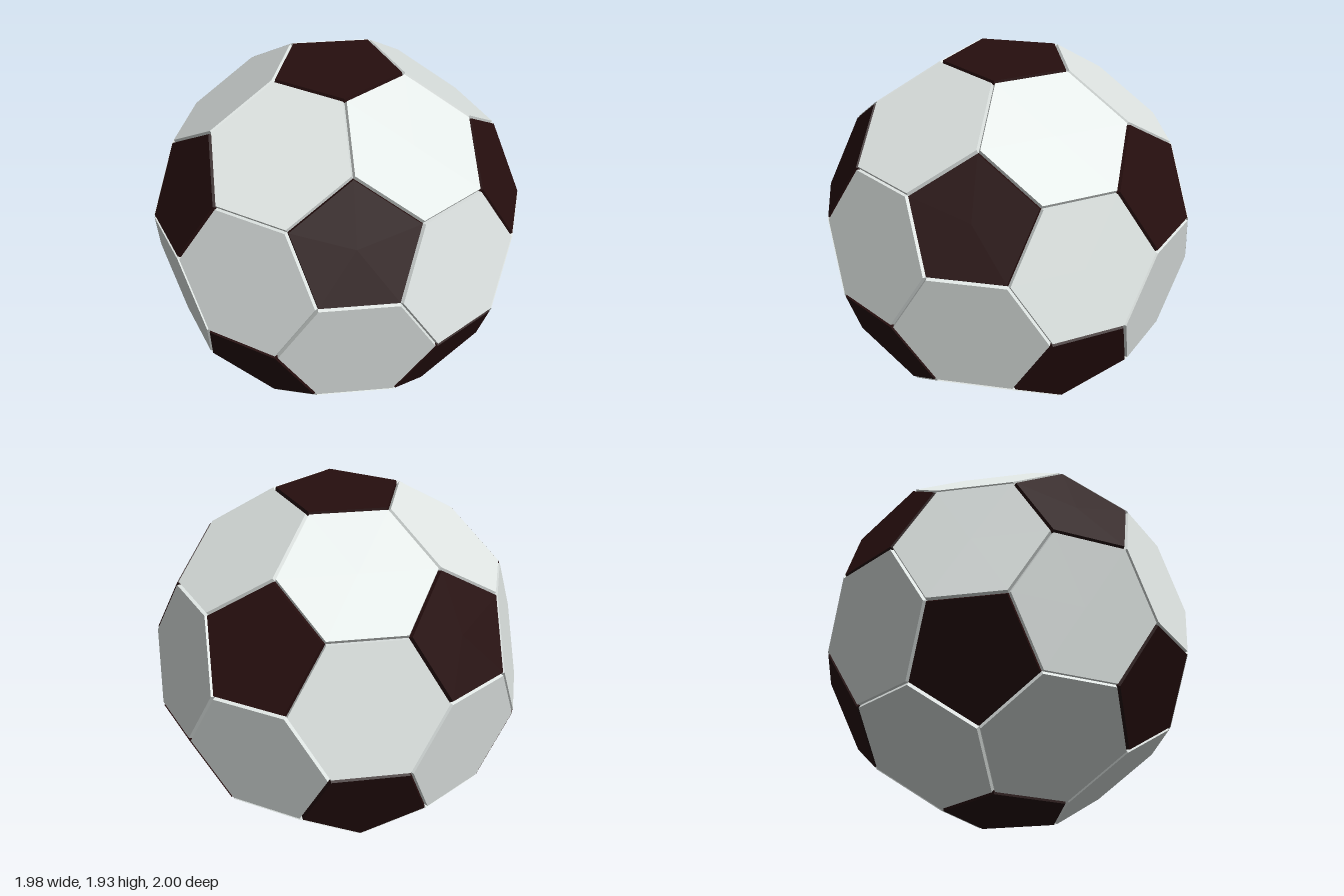
import * as THREE from 'three';

const CENTER_Y = 0.964;   // half the distance between the two flat poles
const ICO_RADIUS = 1.182; // radius of the icosahedron whose corners are cut off
const SEAM_INSET = 0.01;  // half the seam width
const SEAM_SCALE = 0.976; // seam bottoms sit slightly inside the ball

// Corners of the icosahedron: two poles and two staggered rings of five
function icosahedronCorners() {
  const corners = [new THREE.Vector3(0, 1, 0), new THREE.Vector3(0, -1, 0)];
  const h = 1 / Math.sqrt(5);
  for (let i = 0; i < 5; i++) {
    const a = (i * 2 * Math.PI) / 5;
    const b = a + Math.PI / 5;
    corners.push(new THREE.Vector3(2 * h * Math.cos(a), h, 2 * h * Math.sin(a)));
    corners.push(new THREE.Vector3(2 * h * Math.cos(b), -h, 2 * h * Math.sin(b)));
  }
  return corners.map((c) => c.multiplyScalar(ICO_RADIUS));
}

// Flat panel whose sides slope down into the seams
function panelGeometry(points) {
  const center = new THREE.Vector3();
  points.forEach((p) => center.addScaledVector(p, 1 / points.length));

  // Order the corners counter-clockwise as seen from outside
  const normal = center.clone().normalize();
  const u = points[0].clone().sub(center).normalize();
  const v = normal.clone().cross(u);
  const angle = (p) => {
    const d = p.clone().sub(center);
    return Math.atan2(d.dot(v), d.dot(u));
  };
  const ring = points.slice().sort((p, q) => angle(p) - angle(q));

  const apothem = ring[0].distanceTo(center) * Math.cos(Math.PI / ring.length);
  const top = ring.map((p) => p.clone().lerp(center, SEAM_INSET / apothem));
  const base = ring.map((p) => p.clone().multiplyScalar(SEAM_SCALE));

  const triangles = [];
  ring.forEach((_, i) => {
    const j = (i + 1) % ring.length;
    triangles.push(center, top[i], top[j]);
    triangles.push(base[i], base[j], top[j], base[i], top[j], top[i]);
  });
  const geometry = new THREE.BufferGeometry().setFromPoints(triangles);
  geometry.computeVertexNormals();
  return geometry;
}

export function createModel() {
  const white = new THREE.MeshStandardMaterial({ color: 0xe4eae8 });
  white.name = 'white';
  const dark = new THREE.MeshStandardMaterial({ color: 0x260e0e });
  dark.name = 'dark maroon';

  const ball = new THREE.Group();
  ball.name = 'ball';
  ball.position.y = CENTER_Y;

  const corners = icosahedronCorners();
  const adjacent = (a, b) => a !== b && a.distanceTo(b) < ICO_RADIUS * 1.2;
  const third = (a, b) => a.clone().lerp(b, 1 / 3);

  const addPanel = (name, points, material) => {
    const mesh = new THREE.Mesh(panelGeometry(points), material);
    mesh.name = name;
    ball.add(mesh);
  };

  // Twelve dark pentagons, one at each cut corner
  corners.forEach((a) => {
    const points = corners.filter((b) => adjacent(a, b)).map((b) => third(a, b));
    addPanel('pentagonPanel', points, dark);
  });

  // Twenty white hexagons, one on each icosahedron face
  corners.forEach((a, i) => {
    corners.slice(i + 1).forEach((b, j) => {
      corners.slice(i + j + 2).forEach((c) => {
        if (!adjacent(a, b) || !adjacent(b, c) || !adjacent(a, c)) return;
        const pairs = [[a, b], [b, a], [b, c], [c, b], [c, a], [a, c]];
        addPanel('hexagonPanel', pairs.map(([p, q]) => third(p, q)), white);
      });
    });
  });

  const model = new THREE.Group();
  model.name = 'soccerBall';
  model.add(ball);
  return model;
}
